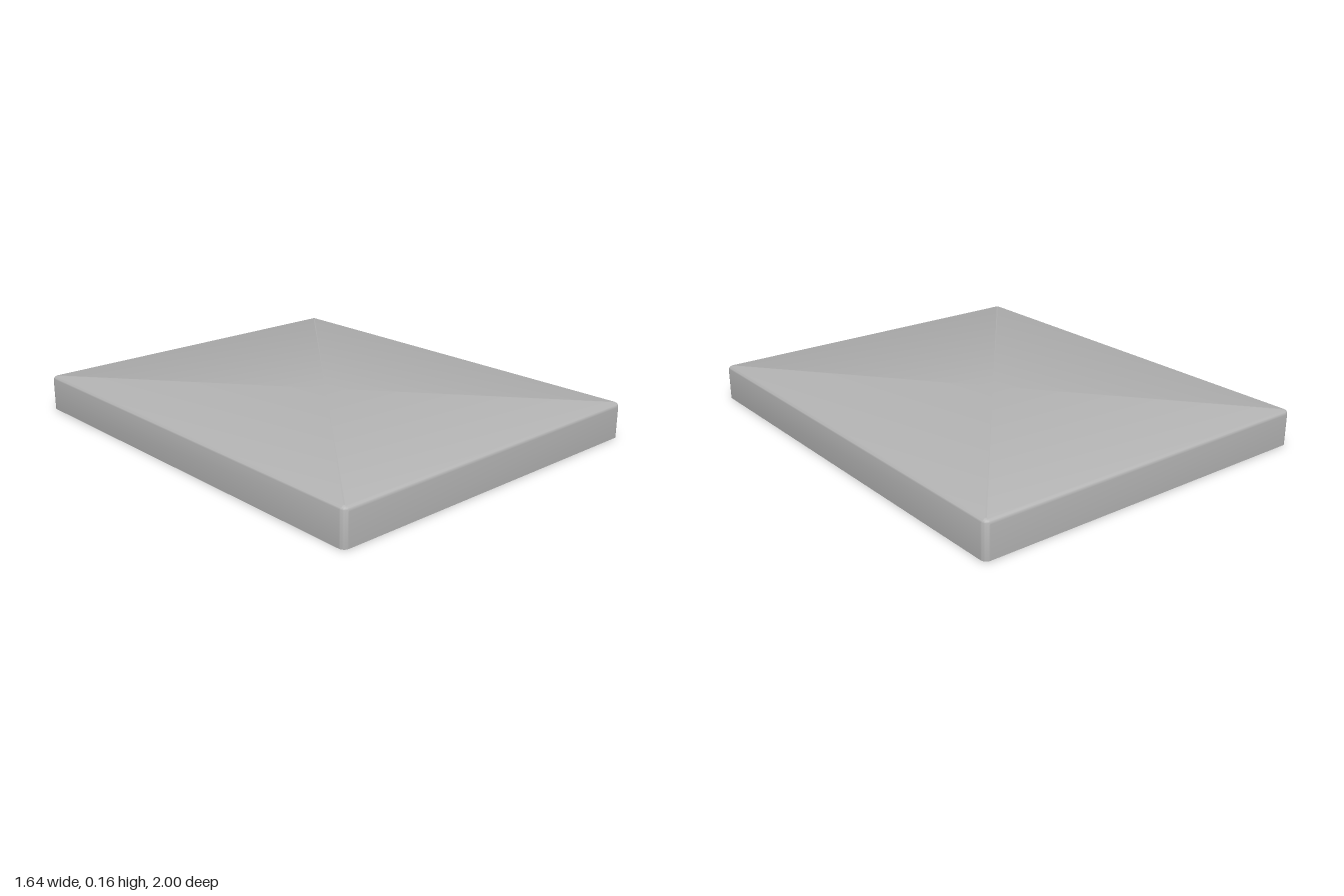
import * as THREE from 'three';
import { toCreasedNormals } from 'three/addons/utils/BufferGeometryUtils.js';

const HALF_X = 0.82, HALF_Z = 1, HEIGHT = 0.16;
const WALL = 0.025, ROUND = 0.02, CORNER = 0.025;
const PANEL_Y = 0.115, POCKET_DEPTH = 0.03;

// One horizontal rounded-rectangle loop, inset from the outside
function ring(inset, y) {
  const r = Math.max(CORNER - inset, 0.002), steps = 6, pts = [];
  const cx = HALF_X - inset - r, cz = HALF_Z - inset - r;
  [[1, 1], [-1, 1], [-1, -1], [1, -1]].forEach(([sx, sz], q) => {
    for (let i = 0; i <= steps; i++) {
      const a = (q + i / steps) * Math.PI / 2;
      pts.push(sx * cx + r * Math.cos(a), y, sz * cz + r * Math.sin(a));
    }
  });
  return pts;
}

// Skirt walls, rim and rounded top, lofted from the inside around to the top
function shellGeometry() {
  const profile = [[WALL, PANEL_Y], [WALL, 0], [0, 0]];
  for (let i = 0; i <= 5; i++) {
    const a = i / 5 * Math.PI / 2;
    profile.push([ROUND * (1 - Math.cos(a)), HEIGHT - ROUND + ROUND * Math.sin(a)]);
  }
  const pos = profile.flatMap(([inset, y]) => ring(inset, y));
  const n = 28, index = [], last = (profile.length - 1) * n;
  for (let i = 0; i < profile.length - 1; i++) {
    for (let j = 0; j < n; j++) {
      const a = i * n + j, b = i * n + (j + 1) % n;
      index.push(a, a + n, b, b, a + n, b + n);
    }
  }
  const centre = pos.length / 3;
  pos.push(0, HEIGHT, 0);
  for (let j = 0; j < n; j++) index.push(last + j, centre, last + (j + 1) % n);
  const geo = new THREE.BufferGeometry();
  geo.setAttribute('position', new THREE.Float32BufferAttribute(pos, 3));
  geo.setIndex(index);
  return toCreasedNormals(geo, 0.6);
}

// Keep the part of a convex polygon where sign * p[axis] <= limit
function clip(poly, axis, sign, limit) {
  const out = [];
  poly.forEach((p, i) => {
    const q = poly[(i + 1) % poly.length];
    const dp = sign * p[axis] - limit, dq = sign * q[axis] - limit;
    if (dp <= 0) out.push(p);
    if (dp * dq < 0) out.push(p.clone().lerp(q, dp / (dp - dq)));
  });
  return out;
}

// Honeycomb cells, cut off at a rectangular border
function honeycomb(limitX, limitZ, pitch, flat) {
  const cells = [], radius = flat / Math.sqrt(3);
  for (let row = -6; row <= 6; row++) {
    for (let col = -5; col <= 5; col++) {
      const cx = (col + (row % 2 ? 0.5 : 0)) * pitch;
      const cy = row * pitch * Math.sqrt(3) / 2;
      let poly = [];
      for (let k = 0; k < 6; k++) {
        const a = (k + 0.5) * Math.PI / 3;
        poly.push(new THREE.Vector2(cx + radius * Math.cos(a), cy + radius * Math.sin(a)));
      }
      for (const s of [1, -1]) {
        poly = clip(poly, 'x', s, limitX);
        poly = clip(poly, 'y', s, limitZ);
      }
      if (poly.length > 2 && Math.abs(THREE.ShapeUtils.area(poly)) > 0.0006) cells.push(poly);
    }
  }
  return cells;
}

export function createModel() {
  const model = new THREE.Group();
  model.name = 'lid';
  const grey = new THREE.MeshStandardMaterial({ color: 0xb4b4b4 });
  grey.name = 'plain grey';
  const add = (name, geo, x = 0, y = 0, z = 0) => {
    const mesh = new THREE.Mesh(geo, grey);
    mesh.name = name;
    mesh.position.set(x, y, z);
    model.add(mesh);
  };

  add('shell', shellGeometry());

  // Underside panel pierced by the honeycomb pockets
  const px = HALF_X - WALL, pz = HALF_Z - WALL;
  const shape = new THREE.Shape([[-px, -pz], [px, -pz], [px, pz], [-px, pz]]
    .map(([x, y]) => new THREE.Vector2(x, y)));
  shape.holes = honeycomb(0.65, 0.82, 0.2, 0.17).map((cell) => new THREE.Path(cell));
  const panel = new THREE.ExtrudeGeometry(shape, { depth: POCKET_DEPTH, bevelEnabled: false });
  panel.rotateX(-Math.PI / 2);
  add('honeycombPanel', panel, 0, PANEL_Y, 0);

  // Closed ends of the pockets, facing down
  const floor = new THREE.PlaneGeometry(2 * px, 2 * pz).rotateX(Math.PI / 2);
  add('pocketFloor', floor, 0, PANEL_Y + POCKET_DEPTH, 0);

  // Small snap bumps inside the long walls
  for (const sx of [1, -1]) {
    for (const sz of [1, -1]) {
      add('snapBump', new THREE.SphereGeometry(0.02, 16, 12), sx * px, 0.048, sz * 0.57);
    }
  }
  return model;
}
